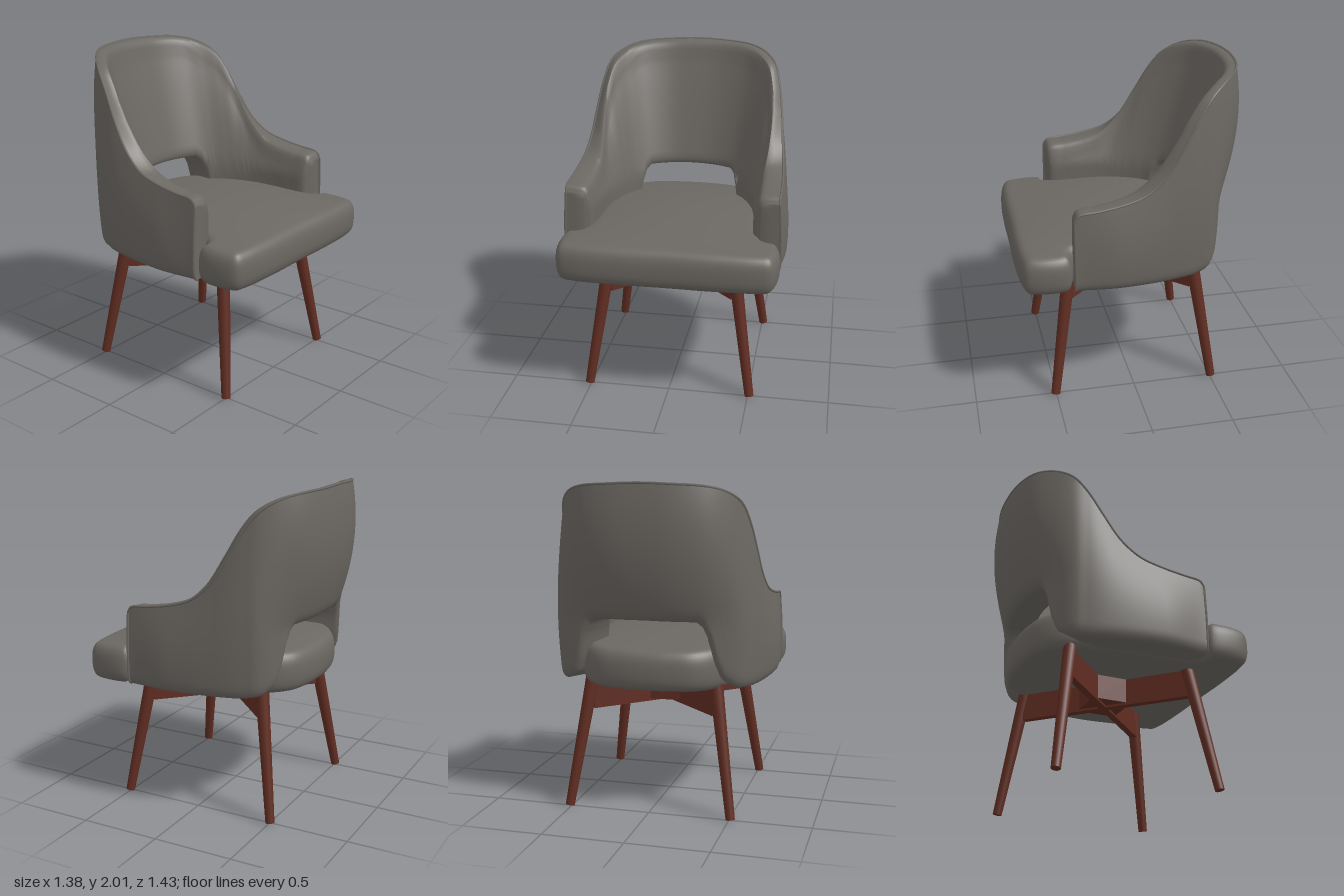
import * as THREE from 'three';
import { toCreasedNormals } from 'three/addons/utils/BufferGeometryUtils.js';

const { lerp, clamp, smoothstep } = THREE.MathUtils;
const V = (x, y, z) => new THREE.Vector3(x, y, z);

// Skin a list of rings, each a closed loop of points
function loft(rings, crease) {
  const n = rings[0].length;
  const pos = rings.flat().flatMap((p) => [p.x, p.y, p.z]);
  const index = [];
  for (let i = 0; i < rings.length - 1; i++) {
    for (let j = 0; j < n; j++) {
      const a = i * n + j, b = i * n + ((j + 1) % n);
      index.push(a, b, b + n, a, b + n, a + n);
    }
  }
  const geo = new THREE.BufferGeometry();
  geo.setAttribute('position', new THREE.Float32BufferAttribute(pos, 3));
  geo.setIndex(index);
  return toCreasedNormals(geo, crease);
}

// Quarter-round ease: 0 at d = 0, 1 once d reaches r
const round = (d, r) => Math.sqrt(1 - (1 - clamp(d / r, 0, 1)) ** 2);

// Half curves from the middle of the back to an arm front, mirrored to a whole
const mirrored = (half) => new THREE.CatmullRomCurve3([
  ...half.slice(1).reverse().map(([x, y, z]) => V(-x, y, z)),
  ...half.map(([x, y, z]) => V(x, y, z)),
]);

// Shell rim
const rim = mirrored([
  [0, 2.0, -0.69], [0.2, 1.993, -0.675], [0.36, 1.982, -0.62], [0.47, 1.95, -0.53],
  [0.54, 1.89, -0.44], [0.575, 1.78, -0.355], [0.6, 1.63, -0.27], [0.62, 1.46, -0.16],
  [0.635, 1.36, -0.04], [0.645, 1.315, 0.1], [0.65, 1.29, 0.25], [0.65, 1.275, 0.36],
  [0.65, 1.24, 0.385],
]);

// Plan of the padding where it is thickest, station by station with the rim
const padding = mirrored([
  [0, 0, -0.39], [0.14, 0, -0.378], [0.265, 0, -0.325], [0.34, 0, -0.255],
  [0.385, 0, -0.185], [0.41, 0, -0.135], [0.43, 0, -0.085], [0.448, 0, -0.03],
  [0.462, 0, 0.04], [0.475, 0, 0.14], [0.485, 0, 0.26], [0.5, 0, 0.36],
  [0.54, 0, 0.385],
]);

// Lower edge of the shell: [distance from the middle, height], arching over the gap
const EDGE = [[0, 1.205], [0.35, 1.2], [0.39, 1.17], [0.42, 1.1], [0.45, 0.95], [0.48, 0.86], [0.53, 0.81], [0.58, 0.79], [1, 0.79]];
function lowerEdge(x) {
  const k = EDGE.findIndex((e) => e[0] > x);
  const [a, b] = [EDGE[k - 1], EDGE[k]];
  return lerp(a[1], b[1], (x - a[0]) / (b[0] - a[0]));
}

// Outer and inner points of the shell at rim position u, in rows from bottom to top
function shellSection(u, rows) {
  const p = rim.getPoint(u), t = rim.getTangent(u), q = padding.getPoint(u);
  const len = Math.hypot(t.x, t.z);
  const nx = t.z / len, nz = -t.x / len;
  const bottom = lowerEdge(Math.abs(p.x));
  const back = smoothstep(-p.z, 0.4, 0.69);
  const full = Math.hypot(q.x - p.x, q.z - p.z);
  const amp = lerp(0.045, 0.015, smoothstep(p.z, 0.1, 0.39));
  // Arms reach most of their padding at once, the back thickens steadily downwards
  const edge = lerp(0.09, 0.035, smoothstep(-p.z, 0, 0.35));
  const outer = [], inner = [];
  for (let k = 0; k <= rows; k++) {
    const y = lerp(bottom, p.y, (1 - Math.cos((Math.PI * k) / rows)) / 2);
    const d = p.y - y, under = 0.03 * (1 - round(y - bottom, 0.06));
    const s = clamp((2 - y) / 0.8, 0, 1);
    const sideOut = amp * Math.sin((Math.PI * d) / (p.y - 0.6));
    const out = lerp(sideOut, 0.16 * s - 0.24 * s * s, back) - under;
    const pad = 0.012 + edge * round(d, 0.05)
      + (full - edge - 0.012) * Math.pow(clamp(d / (p.y - 1.15), 0, 1), 0.9);
    const f = (pad - under) / full;
    const swell = 0.03 * Math.sin(Math.PI * clamp(d / 0.12, 0, 1));
    outer.push(V(p.x + nx * out, y, p.z + nz * out));
    inner.push(V(lerp(p.x, q.x, f), y + swell, lerp(p.z, q.z, f)));
  }
  return { outer, inner };
}

function shellGeometry() {
  const columns = 288, rows = 24, rings = [];
  for (let i = 0; i <= columns; i++) {
    const { outer, inner } = shellSection(i / columns, rows);
    const ring = [...outer, ...inner.reverse()];
    // Close each arm front along its middle line
    const mid = ring.map((c, j) => c.clone().lerp(ring[ring.length - 1 - j], 0.5));
    if (i === 0) rings.push(mid);
    rings.push(ring);
    if (i === columns) rings.push(mid);
  }
  return loft(rings, 0.7);
}

// T-shaped seat cushion with rounded sides and a domed top
function seatGeometry() {
  const half = [
    [0, 0.712], [0.3, 0.714], [0.55, 0.7], [0.635, 0.675], [0.665, 0.6], [0.668, 0.46],
    [0.645, 0.408], [0.57, 0.39], [0.535, 0.3], [0.53, 0], [0.5, -0.2], [0.42, -0.45],
    [0.3, -0.56], [0.15, -0.6], [0, -0.61],
  ];
  const outline = new THREE.CatmullRomCurve3([
    ...half.map(([x, z]) => V(x, 0, z)),
    ...half.slice(1, -1).reverse().map(([x, z]) => V(-x, 0, z)),
  ], true);
  const n = 168, rings = [];
  const ring = (inset, scale, h) => {
    const pts = [];
    for (let j = 0; j < n; j++) {
      const p = outline.getPoint(j / n), t = outline.getTangent(j / n);
      const x = (p.x + t.z * inset) * scale;
      const z = 0.45 + (p.z - t.x * inset - 0.45) * scale;
      const dome = 0.065 * (1 - (x / 0.68) ** 2) * (1 - ((z - 0.05) / 0.68) ** 2);
      pts.push(V(x, 0.895 + h * 0.115 + (h > 0 ? dome * h : 0), z));
    }
    rings.push(pts);
  };
  const fill = 10, steps = 8, soft = 0.07;
  for (let i = 0; i < fill; i++) ring(soft, i / fill, -1);
  for (let i = -steps; i <= steps; i++) {
    const a = (i / steps) * Math.PI / 2;
    const h = Math.sign(a) * Math.pow(Math.abs(Math.sin(a)), 0.75);
    ring(soft * (1 - Math.pow(Math.max(Math.cos(a), 0), 0.75)), 1, h);
  }
  for (let i = fill - 1; i >= 0; i--) ring(soft, i / fill, 1);
  return loft(rings, 0.9);
}

export function createModel() {
  const model = new THREE.Group();
  const fabric = new THREE.MeshStandardMaterial({ color: 0x6b6762 });
  fabric.name = 'greyFabric';
  const wood = new THREE.MeshStandardMaterial({ color: 0x602d22 });
  wood.name = 'redBrownWood';
  const add = (name, geo, mat) => {
    const mesh = new THREE.Mesh(geo, mat);
    mesh.name = name;
    model.add(mesh);
    return mesh;
  };

  add('seatCushion', seatGeometry(), fabric);
  add('backAndArms', shellGeometry(), fabric);

  // Piping along the rim and down both arm fronts
  const rightFront = shellSection(0, 8).outer, leftFront = shellSection(1, 8).outer.reverse();
  const path = new THREE.CatmullRomCurve3([...rightFront.slice(0, -1), ...rim.getPoints(72), ...leftFront.slice(1)]);
  add('piping', new THREE.TubeGeometry(path, 260, 0.008, 6), fabric);

  // Splayed, tapered legs
  for (const [sx, sz, name] of [[1, 1, 'frontLeftLeg'], [-1, 1, 'frontRightLeg'], [1, -1, 'backLeftLeg'], [-1, -1, 'backRightLeg']]) {
    const foot = V(0.51 * sx, 0.006, 0.505 * sz), top = V(0.39 * sx, 0.81, 0.385 * sz);
    const dir = top.clone().sub(foot);
    const leg = add(name, new THREE.CylinderGeometry(0.042, 0.028, dir.length(), 20), wood);
    leg.position.copy(foot).lerp(top, 0.5);
    leg.quaternion.setFromUnitVectors(V(0, 1, 0), dir.normalize());
  }

  // Crossed beams and the block where they meet
  for (const s of [1, -1]) {
    const beam = add('crossBeam', new THREE.BoxGeometry(1.1, 0.18, 0.045), wood);
    beam.position.y = 0.7;
    beam.rotation.y = (s * Math.PI) / 4;
  }
  add('centreBlock', new THREE.BoxGeometry(0.255, 0.17, 0.255), wood).position.y = 0.71;

  return model;
}
